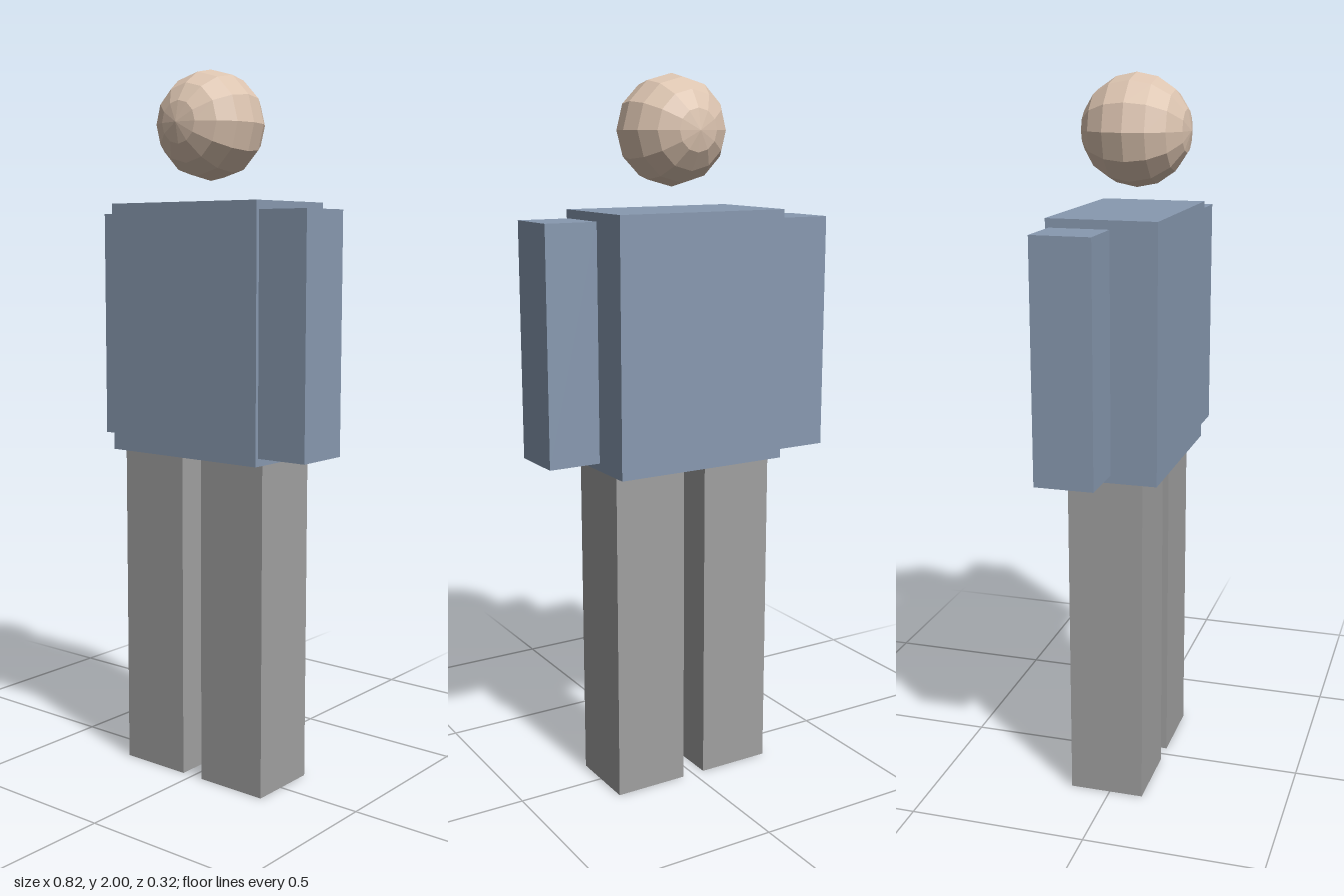
import * as THREE from 'three';

function material(name, color, flatShading = false) {
  const m = new THREE.MeshStandardMaterial({ color, flatShading });
  m.name = name;
  return m;
}

export function createModel() {
  const group = new THREE.Group();
  group.name = 'blockFigure';

  const skin = material('skin', 0xdcc4b0, true);
  const shirt = material('shirtBlue', 0x8899b0);
  const trousers = material('trouserGrey', 0xa0a0a0);

  function add(name, geometry, mat, x, y, z) {
    const mesh = new THREE.Mesh(geometry, mat);
    mesh.name = name;
    mesh.position.set(x, y, z);
    group.add(mesh);
  }

  // Faceted head, floating above the torso, poles facing front and back
  const head = new THREE.SphereGeometry(0.15, 12, 8).rotateX(Math.PI / 2);
  add('head', head, skin, 0, 1.85, 0.01);

  // Torso
  add('torso', new THREE.BoxGeometry(0.514, 0.7, 0.301), shirt, 0, 1.29, -0.0125);

  // Arms (left swung forward, right swung back) and legs
  for (const [side, s, armZ] of [['left', 1, 0.0455], ['right', -1, -0.0715]]) {
    add(side + 'Arm', new THREE.BoxGeometry(0.151, 0.654, 0.164), shirt, s * 0.3325, 1.289, armZ);
    add(side + 'Leg', new THREE.BoxGeometry(0.214, 0.94, 0.21), trousers, s * 0.141, 0.47, -0.009);
  }

  return group;
}
